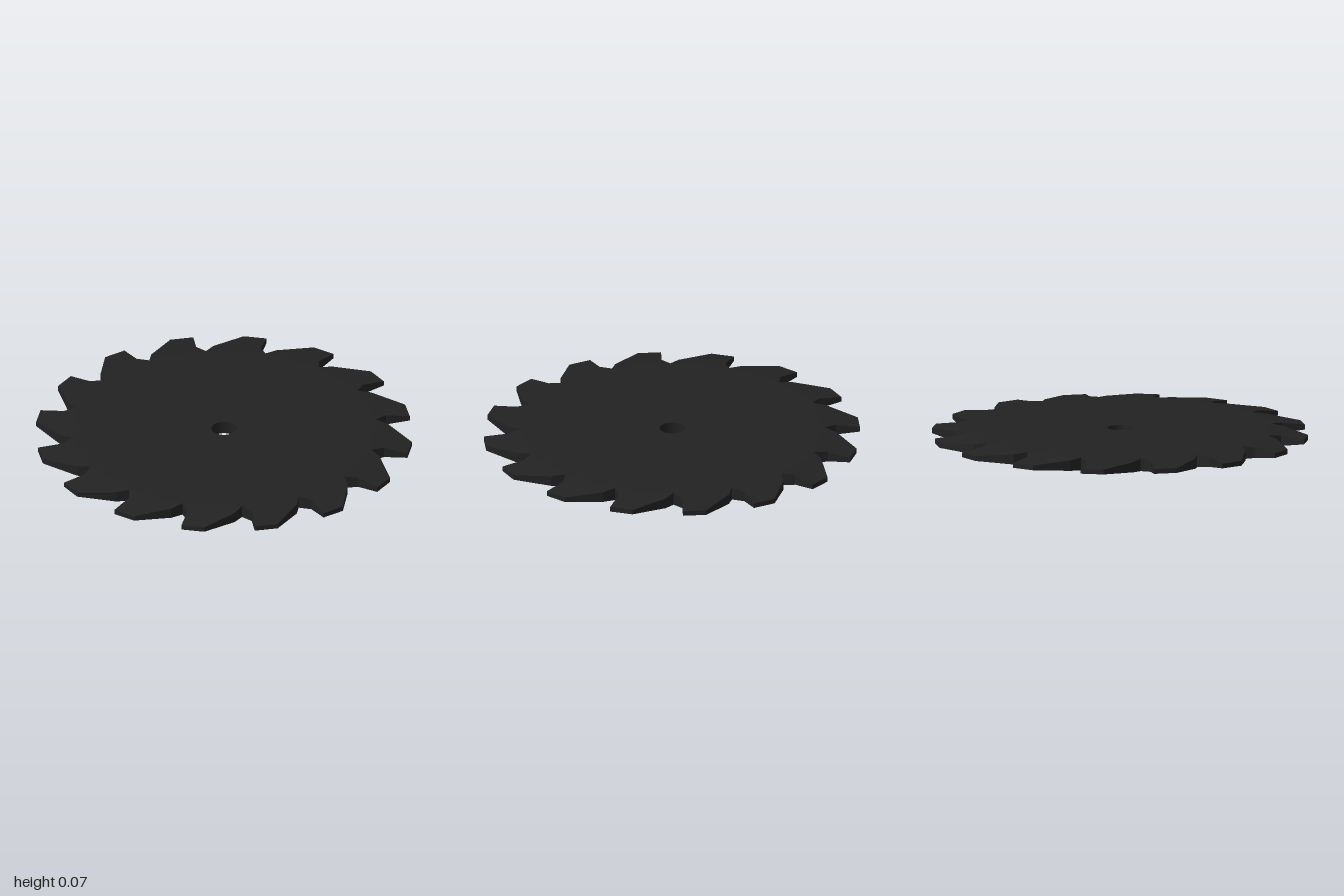
import * as THREE from 'three';

const TEETH = 16, STEP = 360 / TEETH, MID = 0.035;

// Point at a radius and clockwise angle (degrees, from the back), with half thickness h
const pt = (r, deg, h) => {
  const a = THREE.MathUtils.degToRad(deg);
  return { x: r * Math.sin(a), z: -r * Math.cos(a), h };
};

// Collects flat faces that are mirrored about the middle plane of the blade
function faceBuilder() {
  const pos = [];
  const tri = (...v) => v.forEach(([p, s]) => pos.push(p.x, MID + s * p.h, p.z));
  return {
    // convex polygon on the top side, repeated on the underside
    both(...p) {
      for (let i = 1; i < p.length - 1; i++) {
        tri([p[0], 1], [p[i], 1], [p[i + 1], 1]);
        tri([p[0], -1], [p[i + 1], -1], [p[i], -1]);
      }
    },
    // upright wall from p to q
    wall(p, q) {
      tri([p, -1], [p, 1], [q, 1]);
      tri([p, -1], [q, 1], [q, -1]);
    },
    mesh(name, material) {
      const g = new THREE.BufferGeometry();
      g.setAttribute('position', new THREE.Float32BufferAttribute(pos, 3));
      g.computeVertexNormals();
      const m = new THREE.Mesh(g, material);
      m.name = name;
      return m;
    },
  };
}

export function createModel() {
  const steel = new THREE.MeshStandardMaterial({ color: 0x222222, flatShading: true });
  const plate = faceBuilder(), teeth = faceBuilder();

  for (let i = 0; i < TEETH; i++) {
    const a = i * STEP;
    const v0 = pt(0.812, a, 0.035), v1 = pt(0.812, a + STEP, 0.035);

    // sector of the flat plate with the wall of the centre hole
    const hole = [0, 1, 2].map((k) => pt(0.068, a + (k * STEP) / 2, 0.035));
    plate.both(hole[1], hole[2], v1, v0, hole[0]);
    plate.wall(hole[1], hole[0]);
    plate.wall(hole[2], hole[1]);

    // raked tooth, thinning towards its tip
    const b = pt(0.872, a + 2.9, 0.028), c = pt(1.003, a + 12.7, 0.013);
    const d = pt(1.0, a + 19.8, 0.013), e = pt(0.872, a + 19.5, 0.028);
    teeth.both(e, b, v0, v1);
    teeth.both(d, c, b, e);
    const rim = [v0, b, c, d, e, v1];
    for (let k = 0; k < 5; k++) teeth.wall(rim[k], rim[k + 1]);
  }

  const group = new THREE.Group();
  group.name = 'sawBlade';
  group.add(plate.mesh('plate', steel), teeth.mesh('teeth', steel));
  return group;
}
